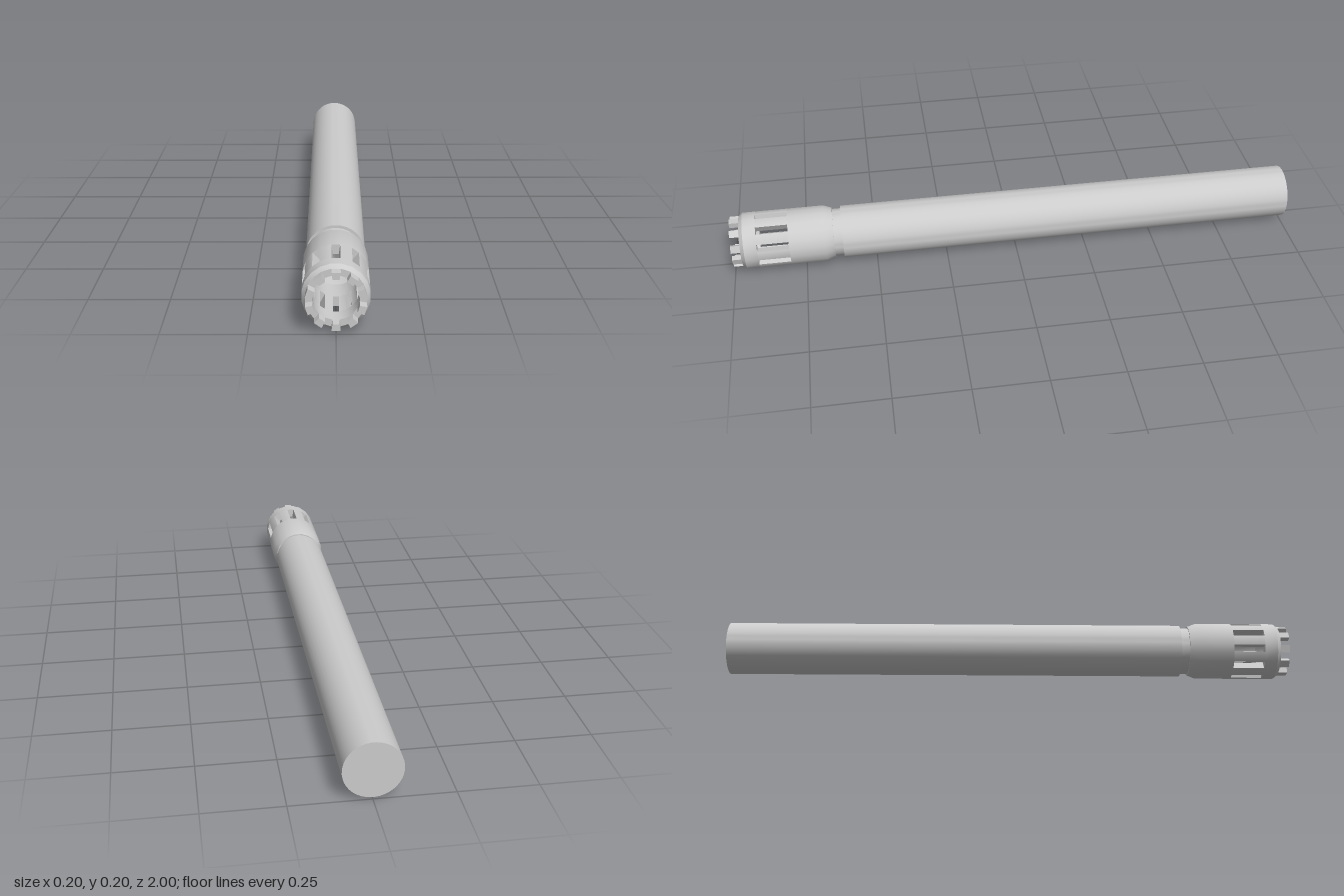
import * as THREE from 'three';
import { toCreasedNormals } from 'three/addons/utils/BufferGeometryUtils.js';

const DEG = Math.PI / 180;
const SIDES = 20;          // facets of the collar
const COUNT = 10;          // slots and prongs
const R = 0.0995;          // collar corner radius
const BORE = 0.068;        // bore radius
const AXIS_Y = R * Math.cos(9 * DEG);

const material = new THREE.MeshStandardMaterial({ color: 0xcccccc });

function part(name, geometry) {
  const mesh = new THREE.Mesh(toCreasedNormals(geometry, 0.5), material);
  mesh.name = name;
  return mesh;
}

// Turned part along z from [radius, z] points, with a facet centred at the top
function turned(name, points, sides) {
  const profile = points.map(([r, z]) => new THREE.Vector2(r, z));
  const geometry = new THREE.LatheGeometry(profile, sides, Math.PI / sides);
  return part(name, geometry.rotateX(Math.PI / 2));
}

// Point on the faceted ring, angle in degrees
function ringPoint(radius, deg) {
  const local = deg - 18 * Math.round(deg / 18);
  const r = radius * Math.cos(9 * DEG) / Math.cos(local * DEG);
  return new THREE.Vector2(r * Math.cos(deg * DEG), r * Math.sin(deg * DEG));
}

// Straight block cut from the ring wall between two radii
function ringBlock(name, centre, angles, inner, outer, z0, z1) {
  const points = [
    ...angles.map(a => ringPoint(outer, centre + a)),
    ...[...angles].reverse().map(a => ringPoint(inner, centre + a)),
  ];
  const geometry = new THREE.ExtrudeGeometry(new THREE.Shape(points), {
    depth: z1 - z0, bevelEnabled: false,
  });
  return part(name, geometry.translate(0, 0, z0));
}

export function createModel() {
  const model = new THREE.Group();
  model.name = 'slottedTube';
  const body = new THREE.Group();
  body.name = 'body';
  body.position.y = AXIS_Y;
  model.add(body);

  // Long plain tube with closed ends
  body.add(turned('mainTube', [[0, -1], [0.092, -1], [0.092, 0.615], [0, 0.615]], 40));

  // Narrow neck between tube and collar
  body.add(turned('neck', [[0.083, 0.61], [0.083, 0.66]], 40));

  // Collar rear with bevelled shoulder and a conical bore bottom
  body.add(turned('collarRear', [
    [0.08, 0.645], [0.088, 0.645], [R, 0.675], [R, 0.80],
    [BORE, 0.80], [BORE, 0.71], [0, 0.67],
  ], SIDES));

  // Bars between the open slots
  const bars = new THREE.Group();
  bars.name = 'slotBars';
  for (let i = 0; i < COUNT; i++) {
    bars.add(ringBlock('slotBar', i * 36, [-10.5, -9, 9, 10.5], BORE, R, 0.80, 0.91));
  }
  body.add(bars);

  // Front ring with chamfered lip
  body.add(turned('collarFront', [
    [BORE, 0.91], [R, 0.91], [R, 0.955], [0.089, 0.968], [BORE, 0.968], [BORE, 0.91],
  ], SIDES));

  // Crown of prongs at the mouth
  const crown = new THREE.Group();
  crown.name = 'crown';
  for (let i = 0; i < COUNT; i++) {
    crown.add(ringBlock('prong', 18 + i * 36, [-8.5, 8.5], BORE, 0.089, 0.966, 1));
  }
  body.add(crown);

  return model;
}
